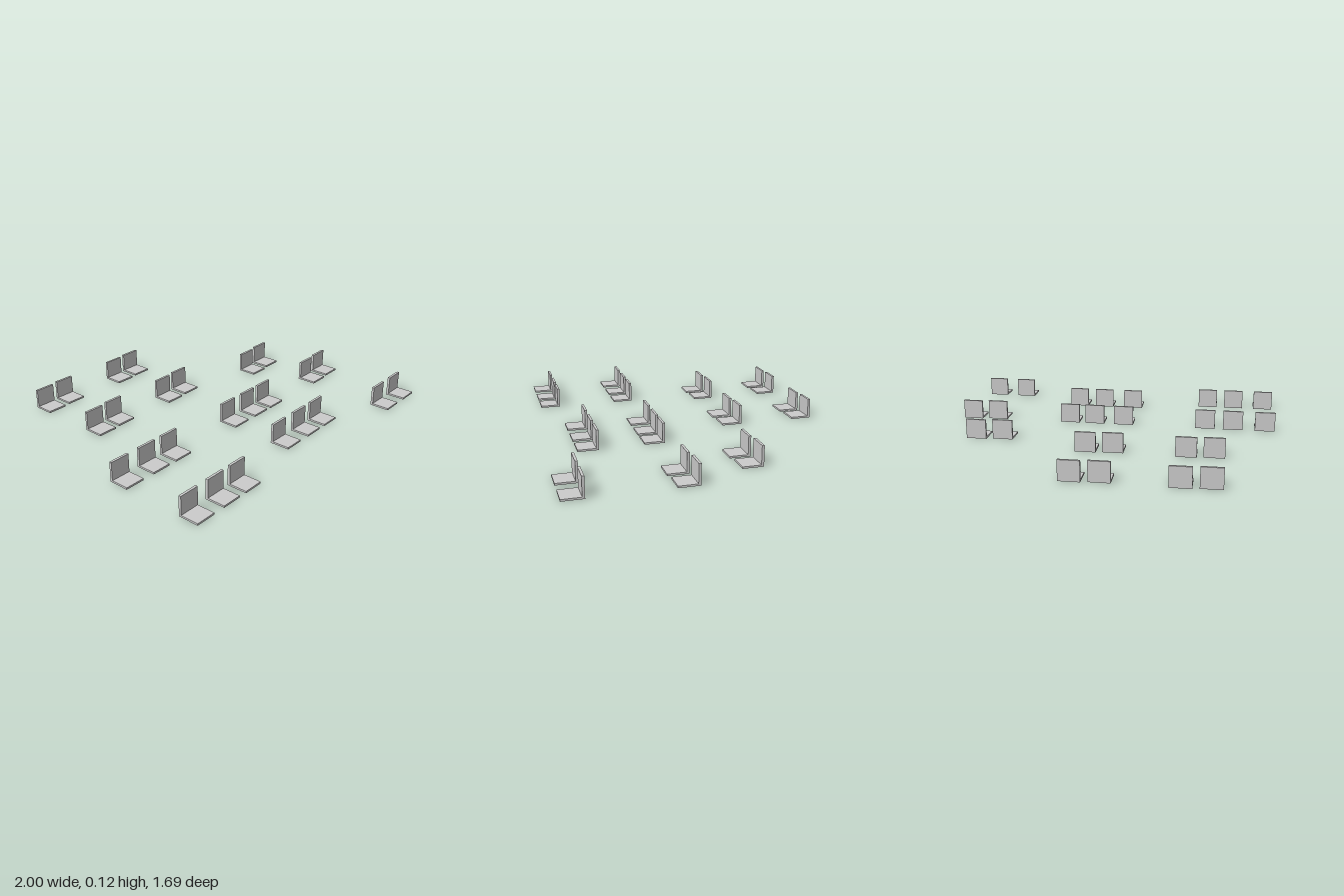
import * as THREE from 'three';

const WIDTH = 0.122, DEPTH = 0.121, HEIGHT = 0.119;
const SLAB = 0.011, BACK = 0.0145;

// Groups of chairs: each chair is [centre x, z of its rear face]
const GROUPS = {
  rearRightPair: [[-0.642, -0.834], [-0.483, -0.844]],
  rearMiddlePair: [[-0.063, -0.834], [0.096, -0.844]],
  secondRightPair: [[-0.642, -0.376], [-0.483, -0.386]],
  secondMiddlePair: [[-0.063, -0.376], [0.096, -0.386]],
  secondLeftPair: [[0.63, -0.238], [0.79, -0.251]],
  thirdRightRow: [[-0.939, 0.155], [-0.742, 0.155], [-0.569, 0.155]],
  thirdMiddleRow: [[-0.051, 0.155], [0.135, 0.155], [0.295, 0.155]],
  thirdLeftPair: [[0.776, 0.155], [0.939, 0.144]],
  frontRightRow: [[-0.939, 0.639], [-0.742, 0.639], [-0.569, 0.639]],
  frontMiddleRow: [[-0.063, 0.541], [0.135, 0.541], [0.307, 0.541]],
  frontLeftPair: [[0.739, 0.725], [0.939, 0.725]],
};

// L-shaped side profile (flat seat and upright back) extruded across the width
function chairGeometry() {
  const profile = new THREE.Shape([
    [0, 0], [DEPTH, 0], [DEPTH, SLAB], [BACK, SLAB], [BACK, HEIGHT], [0, HEIGHT],
  ].map(([z, y]) => new THREE.Vector2(z, y)));
  const geometry = new THREE.ExtrudeGeometry(profile, { depth: WIDTH, bevelEnabled: false });
  geometry.rotateY(-Math.PI / 2); // profile runs towards +z
  geometry.translate(WIDTH / 2, 0, 0);
  return geometry;
}

export function createModel() {
  const model = new THREE.Group();
  model.name = 'seatingArea';
  const geometry = chairGeometry();
  const material = new THREE.MeshStandardMaterial({ color: 0xcccccc });

  for (const [name, places] of Object.entries(GROUPS)) {
    const group = new THREE.Group();
    group.name = name;
    places.forEach(([x, z], i) => {
      const chair = new THREE.Mesh(geometry, material);
      chair.name = `chair${i + 1}`;
      chair.position.set(x, 0, z);
      group.add(chair);
    });
    model.add(group);
  }
  return model;
}
